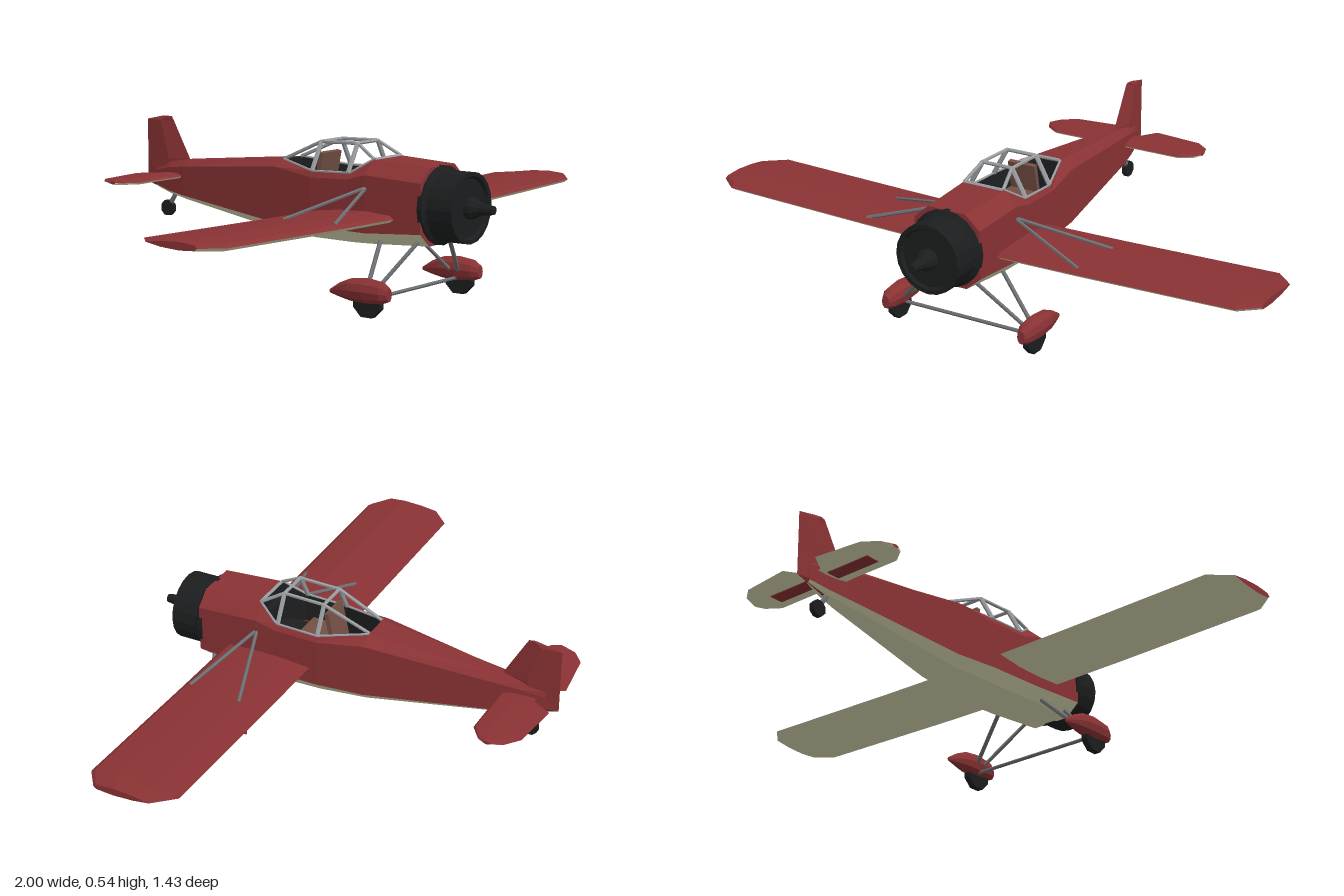
import * as THREE from 'three';

const paint = (name, color) => {
  const m = new THREE.MeshStandardMaterial({ color });
  m.name = name;
  return m;
};

export function createModel() {
  const red = paint('red', 0x8a3234);
  const olive = paint('pale olive', 0xd8d8b2);
  const black = paint('black', 0x1c1d1e);
  const steel = paint('strut steel', 0x6c6f72);
  const grey = paint('frame grey', 0x9a9da0);
  const brown = paint('seat brown', 0x755045);
  const lining = paint('cockpit lining', 0x1e1f20);
  lining.side = THREE.DoubleSide;

  const model = new THREE.Group();
  model.name = 'aeroplane';

  // Every part is faceted, so each face gets its own normal
  const add = (name, geo, mat) => {
    const g = geo.index ? geo.toNonIndexed() : geo;
    g.computeVertexNormals();
    const mesh = new THREE.Mesh(g, mat);
    mesh.name = name;
    model.add(mesh);
    return mesh;
  };

  // Skin between rings of points; keep(i, j) chooses the panels
  const loft = (rings, { keep = () => true, caps = false } = {}) => {
    const pos = [];
    const tri = (...pts) => pts.forEach((p) => pos.push(...p));
    const n = rings[0].length;
    for (let i = 0; i < rings.length - 1; i++) {
      for (let j = 0; j < n; j++) {
        if (!keep(i, j)) continue;
        const k = (j + 1) % n;
        const [a, b, c, d] = [rings[i][j], rings[i + 1][j], rings[i + 1][k], rings[i][k]];
        tri(a, b, c);
        tri(a, c, d);
      }
    }
    if (caps) {
      const s = rings[0], e = rings[rings.length - 1];
      for (let j = 1; j < n - 1; j++) {
        tri(s[0], s[j], s[j + 1]);
        tri(e[0], e[j + 1], e[j]);
      }
    }
    const g = new THREE.BufferGeometry();
    g.setAttribute('position', new THREE.Float32BufferAttribute(pos, 3));
    return g;
  };

  const rod = (name, a, b, r, mat) => {
    const p = new THREE.Vector3(...a), q = new THREE.Vector3(...b);
    const d = q.clone().sub(p);
    const mesh = add(name, new THREE.CylinderGeometry(r, r, d.length(), 6), mat);
    mesh.position.copy(p).add(q).multiplyScalar(0.5);
    mesh.quaternion.setFromUnitVectors(new THREE.Vector3(0, 1, 0), d.normalize());
  };

  const box = (name, size, at, mat, tilt = 0) => {
    const mesh = add(name, new THREE.BoxGeometry(...size), mat);
    mesh.position.set(...at);
    mesh.rotation.x = tilt;
  };

  // Fuselage: z, top half width, top y, half width, shoulder y, chine y, belly half width, belly y
  const stations = [
    [0.525, 0.068, 0.455, 0.12, 0.41, 0.25, 0.07, 0.207],
    [0.31, 0.075, 0.465, 0.122, 0.42, 0.235, 0.085, 0.197],
    [0.24, 0.105, 0.42, 0.118, 0.4, 0.235, 0.085, 0.195],
    [0.09, 0.105, 0.415, 0.115, 0.395, 0.232, 0.08, 0.195],
    [-0.07, 0.05, 0.437, 0.097, 0.415, 0.23, 0.065, 0.2],
    [-0.52, 0.018, 0.397, 0.04, 0.375, 0.275, 0.025, 0.262],
    [-0.6, 0.012, 0.385, 0.026, 0.365, 0.285, 0.014, 0.275],
    [-0.67, 0.004, 0.37, 0.01, 0.35, 0.3, 0.004, 0.293],
  ];
  const hull = stations.map(([z, tw, top, w, sh, ch, bw, bot]) => [
    [tw, top, z], [-tw, top, z], [-w, sh, z], [-w, ch, z],
    [-bw, bot, z], [bw, bot, z], [w, ch, z], [w, sh, z],
  ]);
  const belly = (j) => j >= 3 && j <= 5;
  const opening = (i, j) => j === 0 && i >= 1 && i <= 3;
  add('fuselage', loft(hull, { keep: (i, j) => !belly(j) && !opening(i, j), caps: true }), red);
  add('belly', loft(hull, { keep: (i, j) => belly(j) }), olive);

  // Cockpit tub below the opening
  const sill = stations.slice(1, 5).map(([z, w, y]) => [w, y, z]);
  const rim = [...sill, ...sill.map(([x, y, z]) => [-x, y, z]).reverse()];
  add('cockpitTub', loft([rim, rim.map(([x, , z]) => [x * 0.95, 0.32, z])]), lining);
  box('cockpitFloor', [0.18, 0.006, 0.4], [0, 0.32, 0.12], lining);
  box('instrumentPanel', [0.15, 0.07, 0.02], [0, 0.41, 0.285], lining);
  box('seatCushion', [0.1, 0.03, 0.11], [0, 0.36, 0.13], brown);
  box('seatBack', [0.1, 0.12, 0.016], [0, 0.41, 0.073], brown, 0.2);

  // Canopy frame
  for (const s of [-1, 1]) {
    const f = [s * 0.055, 0.51, 0.235], r = [s * 0.055, 0.506, 0.09];
    rod('windshieldFrame', [s * 0.072, 0.465, 0.315], f, 0.006, grey);
    rod('canopyPost', [s * 0.105, 0.42, 0.235], f, 0.008, grey);
    rod('canopyRail', f, r, 0.006, grey);
    rod('canopyPost', [s * 0.105, 0.415, 0.09], r, 0.008, grey);
    rod('rearFrame', r, [s * 0.045, 0.437, -0.07], 0.006, grey);
    for (let i = 0; i < 3; i++) {
      const at = ([x, y, z]) => [s * x, y, z];
      rod('cockpitSill', at(sill[i]), at(sill[i + 1]), 0.004, grey);
    }
  }
  for (const [w, y, z] of [[0.072, 0.465, 0.315], [0.055, 0.51, 0.235], [0.055, 0.506, 0.09]])
    rod('canopyCrossbar', [-w, y, z], [w, y, z], 0.006, grey);

  // Cowling and propeller hub
  const lathe = (name, profile, sides) => {
    const g = new THREE.LatheGeometry(profile.map(([r, z]) => new THREE.Vector2(r, z)), sides);
    add(name, g.rotateX(Math.PI / 2).translate(0, 0.33, 0), black);
  };
  lathe('cowling', [[0, 0.515], [0.127, 0.515], [0.127, 0.532], [0.114, 0.542], [0.114, 0.635],
    [0.1, 0.635], [0.093, 0.625], [0, 0.625]], 20);
  lathe('propellerHub', [[0.036, 0.62], [0.035, 0.643], [0.02, 0.67], [0.014, 0.718], [0, 0.719]], 10);

  // Wing and tailplane: half stations are x, leading z, trailing z, centre y, thickness scale
  const section = [[0, 0], [0.05, 0.011], [0.35, 0.017], [0.7, 0.012], [1, 0.001],
    [0.7, -0.011], [0.35, -0.016], [0.05, -0.011]];
  const surface = (name, half) => {
    const all = [...half.map(([x, ...r]) => [-x, ...r]).reverse(), ...half];
    const rings = all.map(([x, a, b, y, t]) => section.map(([u, h]) => [x, y + h * t, a + (b - a) * u]));
    add(name + 'Top', loft(rings, { keep: (i, j) => j < 4, caps: true }), red);
    add(name + 'Underside', loft(rings, { keep: (i, j) => j >= 4 }), olive);
  };
  surface('wing', [[0.05, 0.425, 0.115, 0.288, 1], [0.4, 0.425, 0.115, 0.293, 1],
    [0.935, 0.425, 0.115, 0.305, 0.95], [1, 0.375, 0.18, 0.308, 0.75]]);
  surface('tailplane', [[0.005, -0.53, -0.64, 0.34, 0.6], [0.03, -0.53, -0.645, 0.34, 0.6],
    [0.07, -0.53, -0.71, 0.34, 0.6], [0.245, -0.53, -0.69, 0.34, 0.6],
    [0.292, -0.565, -0.652, 0.34, 0.5], [0.305, -0.59, -0.615, 0.34, 0.35]]);
  for (const s of [-1, 1])
    box('tailplanePanel', [0.17, 0.004, 0.05], [s * 0.125, 0.331, -0.6], red);

  // Fin and rudder: y, front z, back z, half width
  const fin = [[0.275, -0.59, -0.61, 0.006], [0.305, -0.59, -0.715, 0.013], [0.395, -0.52, -0.715, 0.014],
    [0.525, -0.594, -0.715, 0.008], [0.54, -0.603, -0.645, 0.005]];
  add('fin', loft(fin.map(([y, f, b, w]) => {
    const m = f + (b - f) * 0.45;
    return [[0, y, b], [w, y, m], [0, y, f], [-w, y, m]];
  }), { caps: true }), red);

  // Main gear, wheel fairings and wing struts; fairing rows are z, y, x radius, y radius
  const fairing = [[0.505, 0.078, 0.014, 0.022], [0.48, 0.081, 0.027, 0.035], [0.42, 0.082, 0.033, 0.041],
    [0.36, 0.081, 0.029, 0.036], [0.32, 0.076, 0.018, 0.024], [0.278, 0.067, 0.003, 0.006]];
  const wheel = (r, w, x, y, z) => {
    const g = new THREE.CylinderGeometry(r, r, w, 8, 1, false, Math.PI / 8);
    add('wheel', g.rotateZ(Math.PI / 2).translate(x, y, z), black);
  };
  for (const s of [-1, 1]) {
    add('wheelFairing', loft(fairing.map(([z, y, rx, ry]) => Array.from({ length: 10 }, (_, i) => {
      const a = (i / 10) * Math.PI * 2;
      return [s * 0.255 + Math.cos(a) * rx, y + Math.sin(a) * ry, z];
    })), { caps: true }), red);
    wheel(0.054, 0.022, s * 0.255, 0.05, 0.425);
    rod('gearLeg', [s * 0.08, 0.225, 0.495], [s * 0.24, 0.07, 0.43], 0.007, steel);
    rod('gearLeg', [s * 0.08, 0.225, 0.35], [s * 0.24, 0.07, 0.405], 0.007, steel);
    rod('wingStrut', [s * 0.11, 0.38, 0.31], [s * 0.395, 0.304, 0.4], 0.006, steel);
    rod('wingStrut', [s * 0.11, 0.38, 0.31], [s * 0.41, 0.304, 0.212], 0.006, steel);
  }
  rod('axle', [-0.25, 0.053, 0.42], [0.25, 0.053, 0.42], 0.006, steel);

  // Tailwheel
  rod('tailwheelLeg', [0, 0.285, -0.58], [0, 0.225, -0.62], 0.009, steel);
  wheel(0.028, 0.018, 0, 0.22, -0.623);

  return model;
}
